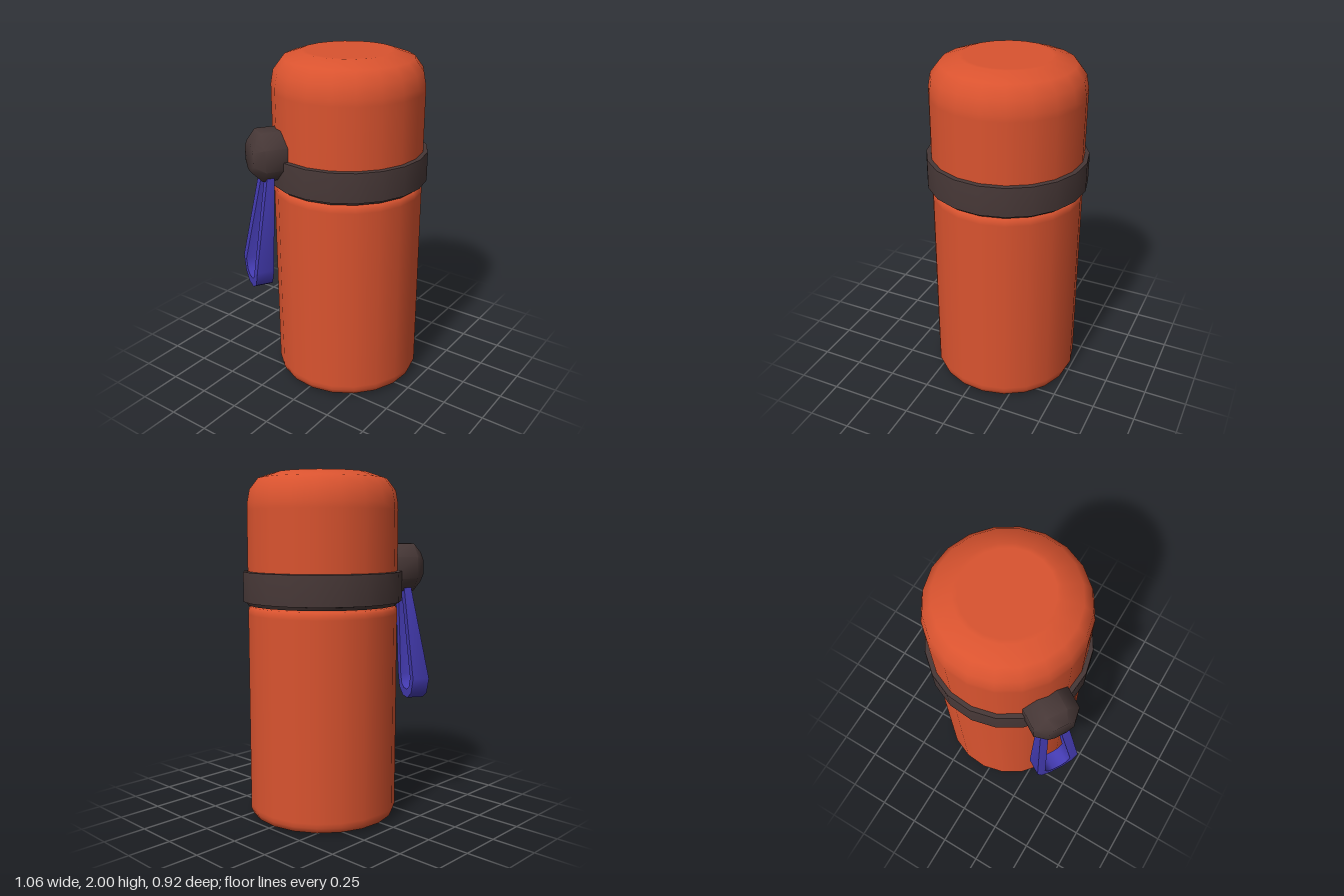
import * as THREE from 'three';
import { toCreasedNormals } from 'three/addons/utils/BufferGeometryUtils.js';

const SIDES = 20;
const mat = (name, color) => {
  const m = new THREE.MeshStandardMaterial({ color });
  m.name = name;
  return m;
};

function part(name, geometry, material) {
  const mesh = new THREE.Mesh(geometry, material);
  mesh.name = name;
  return mesh;
}

// Turned part from [radius, height] pairs, bottom to top
function turned(name, profile, material) {
  const points = profile.map(([r, y]) => new THREE.Vector2(r, y));
  const mesh = part(name, new THREE.LatheGeometry(points, SIDES), material);
  mesh.rotation.y = 0.075;
  return mesh;
}

// Flat band swept along a path of { x, y, z, depth } in the xy plane
function band(path, thickness) {
  const positions = [], index = [], h = thickness / 2;
  path.forEach((p, i) => {
    const a = path[Math.max(i - 1, 0)], b = path[Math.min(i + 1, path.length - 1)];
    const len = Math.hypot(b.x - a.x, b.y - a.y);
    const nx = -(b.y - a.y) / len, ny = (b.x - a.x) / len;
    for (const [n, d] of [[1, -1], [1, 1], [-1, 1], [-1, -1]]) {
      positions.push(p.x + n * h * nx, p.y + n * h * ny, p.z + d * p.depth / 2);
    }
    if (i === 0) return;
    for (let k = 0; k < 4; k++) {
      const s = (i - 1) * 4, e = i * 4, k2 = (k + 1) % 4;
      index.push(s + k, s + k2, e + k2, s + k, e + k2, e + k);
    }
  });
  const g = new THREE.BufferGeometry();
  g.setAttribute('position', new THREE.Float32BufferAttribute(positions, 3));
  g.setIndex(index);
  return toCreasedNormals(g, 0.9);
}

export function createModel() {
  const orange = mat('orange', 0xd9532f);
  const brown = mat('dark brown', 0x463736);
  const blue = mat('blue', 0x453cb4);

  const model = new THREE.Group();
  model.name = 'flask';
  const flask = new THREE.Group();
  flask.name = 'flaskAssembly';
  flask.position.x = 0.066;
  model.add(flask);

  // Bottle with a rounded foot and shoulder, and a narrow neck under the collar
  flask.add(turned('body', [
    [0, 0], [0.375, 0], [0.39, 0.002], [0.422, 0.015], [0.435, 0.045], [0.435, 0.07],
    [0.435, 1.2], [0.435, 1.225], [0.422, 1.243], [0.4, 1.247], [0.4, 1.3],
  ], orange));

  // Domed cap
  flask.add(turned('cap', [
    [0.435, 1.36], [0.435, 1.79], [0.434, 1.825], [0.42, 1.9], [0.37, 1.965],
    [0.266, 2], [0.24, 2], [0, 2],
  ], orange));

  // Collar
  const collar = turned('collar', [
    [0.39, 1.252], [0.435, 1.252], [0.445, 1.27], [0.462, 1.272], [0.462, 1.285],
    [0.462, 1.43], [0.46, 1.442], [0.43, 1.445],
  ], brown);
  collar.geometry = toCreasedNormals(collar.geometry, 0.7);
  flask.add(collar);

  // Hanger: local +z points outward from the flask
  const hanger = new THREE.Group();
  hanger.name = 'hanger';
  hanger.rotation.y = Math.atan2(-0.85, -0.53);
  flask.add(hanger);

  // Chamfered knob
  const w = 0.078, t = 0.085, c = 0.045;
  const outline = new THREE.Shape([
    [w, -t + c], [w, t - c], [w - c, t], [c - w, t],
    [-w, t - c], [-w, c - t], [c - w, -t], [w - c, -t],
  ].map(([x, y]) => new THREE.Vector2(x, y)));
  const knobGeo = new THREE.ExtrudeGeometry(outline, {
    depth: 0.18, bevelEnabled: true, bevelSize: 0.055, bevelThickness: 0.055, bevelSegments: 1,
  });
  const knob = part('knob', toCreasedNormals(knobGeo, 0.85), brown);
  knob.position.set(0, 1.46, 0.36);
  hanger.add(knob);

  // Strap loop, flaring and leaning outward toward its rounded end
  const half = [
    { x: -0.042, y: 1.42, z: 0.488, depth: 0.035 },
    { x: -0.11, y: 0.8, z: 0.57, depth: 0.1 },
    { x: -0.083, y: 0.725, z: 0.57, depth: 0.1 },
    { x: -0.032, y: 0.695, z: 0.57, depth: 0.1 },
  ];
  const mirrored = half.map((p) => ({ ...p, x: -p.x })).reverse();
  hanger.add(part('strap', band([...half, ...mirrored], 0.052), blue));

  return model;
}
